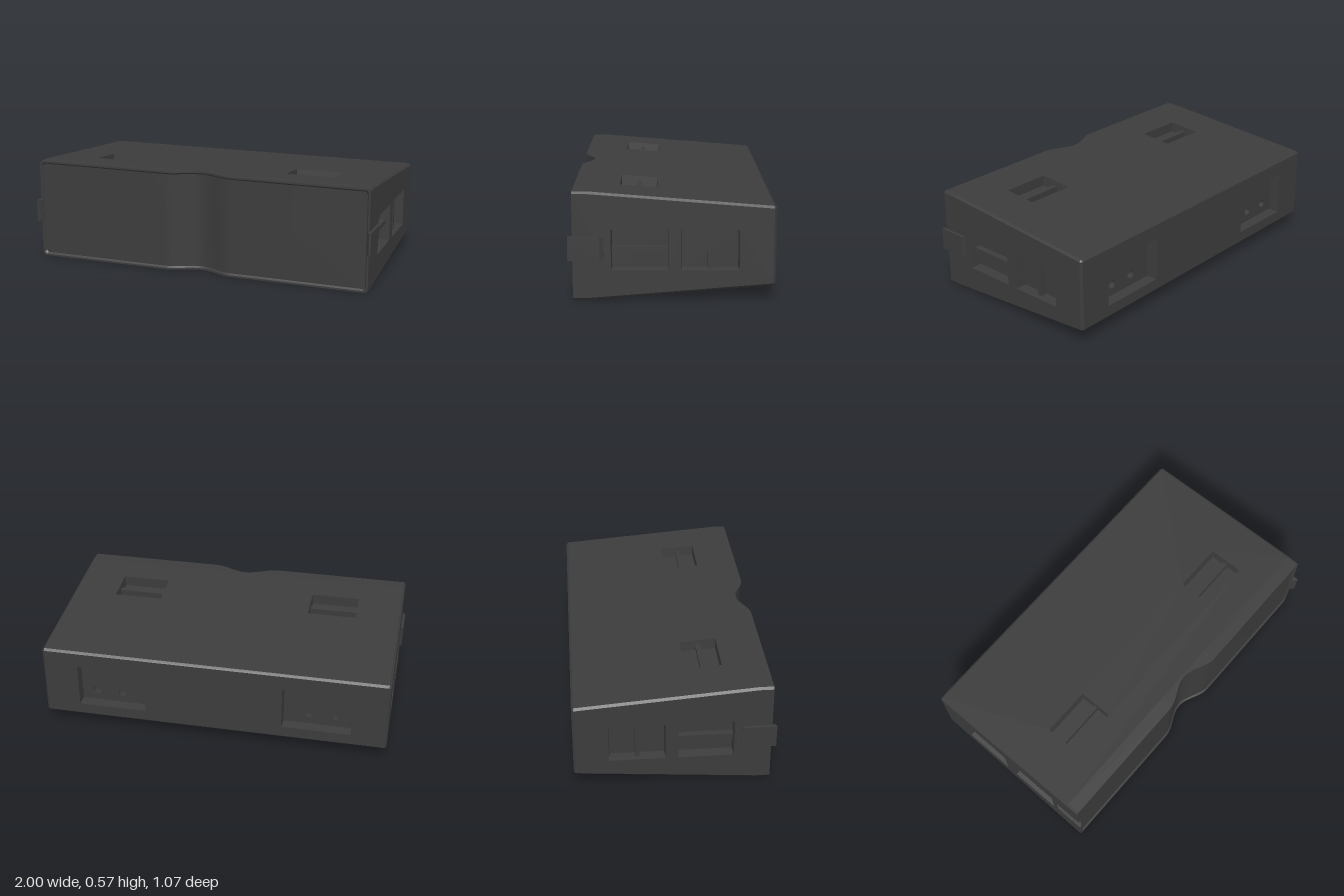
import * as THREE from 'three';
import { toCreasedNormals } from 'three/addons/utils/BufferGeometryUtils.js';

const W = 0.985, H = 0.574, FRONT = 0.515, BACK = -0.535, BREAK = 0.44, C = 0.012;
const SLOPE = 0.08;
const material = new THREE.MeshStandardMaterial({ color: 0x3c3c3c, side: THREE.DoubleSide });

const V = (x, y, z) => new THREE.Vector3(x, y, z);
const topY = z => H - Math.max(0, BREAK - z) * SLOPE;
const bottomY = z => H - topY(z);
// front edge with a finger dip in the middle
const frontZ = x => FRONT - (Math.abs(x) < 0.2 ? 0.031 * (1 + Math.cos(Math.PI * x / 0.2)) : 0);

function mesh(name, geometry) {
  const m = new THREE.Mesh(geometry, material);
  m.name = name;
  return m;
}

// ruled surface between two polylines of equal length
function strip(name, a, b) {
  const pos = [];
  for (let i = 0; i < a.length - 1; i++)
    for (const p of [a[i], b[i], b[i + 1], a[i], b[i + 1], a[i + 1]]) pos.push(p.x, p.y, p.z);
  const g = new THREE.BufferGeometry();
  g.setAttribute('position', new THREE.Float32BufferAttribute(pos, 3));
  g.computeVertexNormals();
  return mesh(name, toCreasedNormals(g, 0.4));
}

function rectLoop(x, y, w, h, z) {
  return [[-1, -1], [1, -1], [1, 1], [-1, 1], [-1, -1]].map(([i, j]) => V(x + i * w / 2, y + j * h / 2, z));
}
const shapeOf = points => new THREE.Shape(points.map(p => new THREE.Vector2(p.x, p.y)));
function cutRect(shape, x, y, w, h) {
  shape.holes.push(new THREE.Path(rectLoop(x, y, w, h, 0).slice(0, 4).reverse().map(p => new THREE.Vector2(p.x, p.y))));
}

// pocket in a panel: tapered walls, floor, optional finger bar or round sockets
function recess({ x, y, w, h, d = 0.06, bar, sockets = [] }) {
  const g = new THREE.Group();
  g.name = 'recess';
  const t = 0.008;
  const floorLoop = rectLoop(x, y, w - t, h - t, -d);
  g.add(strip('recessWalls', rectLoop(x, y, w, h, 0), floorLoop));
  const floor = shapeOf(floorLoop.slice(0, 4));
  for (const [sx, sy] of sockets) {
    const r = 0.024, depth = 0.03;
    floor.holes.push(new THREE.Path().absarc(sx, sy, r, 0, Math.PI * 2, true));
    const tube = mesh('socketWall', new THREE.CylinderGeometry(r, r, depth, 20, 1, true));
    tube.rotation.x = Math.PI / 2;
    tube.position.set(sx, sy, -d - depth / 2);
    const end = mesh('socketEnd', new THREE.CircleGeometry(r, 20));
    end.position.set(sx, sy, -d - depth);
    g.add(tube, end);
  }
  const floorMesh = mesh('recessFloor', new THREE.ShapeGeometry(floor, 20));
  floorMesh.position.z = -d;
  g.add(floorMesh);
  if (bar) {
    const b = mesh('fingerBar', new THREE.BoxGeometry(bar === 'x' ? w - t : 0.026, bar === 'x' ? 0.026 : h - t, 0.035));
    b.position.set(x, y, -d + 0.0175);
    g.add(b);
  }
  return g;
}

// flat panel in its own xy plane, facing +z, with pockets
function panel(name, points, recesses) {
  const g = new THREE.Group();
  g.name = name;
  const shape = shapeOf(points);
  for (const r of recesses) {
    cutRect(shape, r.x, r.y, r.w, r.h);
    g.add(recess(r));
  }
  g.add(mesh(name + 'Sheet', new THREE.ShapeGeometry(shape)));
  return g;
}

export function createModel() {
  const model = new THREE.Group();
  model.name = 'sliderBox';
  const xi = W - C, zb = BACK + C;

  // sloping top with two grip pockets
  const len = Math.hypot(BREAK - zb, topY(BREAK) - topY(zb));
  const top = panel('topPanel', [V(-xi, 0), V(xi, 0), V(xi, len), V(-xi, len)],
    [-1, 1].map(s => ({ x: s * 0.585, y: BREAK - 0.175, w: 0.28, h: 0.2, bar: 'x' })));
  top.position.set(0, H, BREAK);
  top.rotation.x = -(Math.PI / 2 + Math.atan(SLOPE));
  model.add(top);

  // plain sloping bottom
  model.add(strip('bottomPanel', [V(-xi, bottomY(zb), zb), V(xi, bottomY(zb), zb)], [V(-xi, 0, BREAK), V(xi, 0, BREAK)]));

  // level front strips following the dip
  const xs = [-W, -xi];
  for (let i = -16; i <= 16; i++) xs.push(i / 16 * 0.2);
  xs.push(xi, W);
  const inner = xs.slice(1, -1);
  for (const y of [0, H])
    model.add(strip('frontStrip', inner.map(x => V(x, y, BREAK)), inner.map(x => V(x, y, frontZ(x)))));

  // chamfers around the top and bottom
  const path = [[-xi, FRONT], [-xi, BREAK], [-xi, zb], [-xi, zb], [xi, zb], [xi, zb], [xi, BREAK], [xi, FRONT]];
  const push = [[-C, 0], [-C, 0], [-C, 0], [0, -C], [0, -C], [C, 0], [C, 0], [C, 0]];
  for (const [edge, dir] of [[topY, -1], [bottomY, 1]])
    model.add(strip('edgeChamfer', path.map(([x, z]) => V(x, edge(z), z)),
      path.map(([x, z], i) => V(x + push[i][0], edge(z) + dir * C, z + push[i][1]))));

  for (const s of [-1, 1]) {
    const lo = bottomY(zb) + C, hi = topY(zb) - C;
    model.add(strip('backCornerChamfer', [V(s * W, lo, zb), V(s * W, hi, zb)], [V(s * xi, lo, BACK), V(s * xi, hi, BACK)]));

    // side wall with a horizontal and a vertical grip pocket
    const outline = [[zb, lo], [BREAK, C], [FRONT, C], [FRONT, H - C], [BREAK, H - C], [zb, hi]];
    const side = panel('sidePanel', outline.map(([z, y]) => V(-s * z, y)), [
      { x: -s * 0.168, y: 0.267, w: 0.297, h: 0.215, bar: 'x' },
      { x: s * 0.197, y: 0.267, w: 0.3, h: 0.215, bar: 'y' },
    ]);
    side.position.x = s * W;
    side.rotation.y = s * Math.PI / 2;
    model.add(side);

    // side latch with a hooked front end
    const hook = [[0.98, 0.355], [0.99, 0.355], [1, 0.375], [1, 0.539], [0.988, 0.539], [0.972, 0.515]];
    const latch = new THREE.ExtrudeGeometry(shapeOf(hook.map(([x, z]) => V(s * x, -z))), { depth: 0.126, bevelEnabled: false });
    latch.rotateX(-Math.PI / 2);
    latch.translate(0, 0.214, 0);
    model.add(mesh('latch', latch));
  }

  // back wall with two socket pockets
  const by = bottomY(zb) + C, ty = topY(zb) - C;
  const back = panel('backPanel', [V(-xi, by), V(xi, by), V(xi, ty), V(-xi, ty)], [-1, 1].map(s => ({
    x: s * 0.588, y: 0.275, w: 0.39, h: 0.25,
    sockets: [[s * 0.54, 0.22], [s * 0.69, 0.22]],
  })));
  back.position.z = BACK;
  back.rotation.y = Math.PI;
  model.add(back);

  // front rim and slightly sunken front face
  const row = (sign, inset, depth) => xs.map(x => {
    const half = H / 2 - (Math.abs(x) > xi + 0.001 ? C : 0);
    const px = x * (1 - inset / W);
    return V(px, H / 2 + sign * (half - inset), frontZ(px) - depth);
  });
  const ring = (inset, depth) => {
    const loop = [...row(1, inset, depth), ...row(-1, inset, depth).reverse()];
    return [...loop, loop[0]];
  };
  model.add(strip('frontRim', ring(0, 0), ring(0.01, 0)));
  model.add(strip('frontStep', ring(0.01, 0), ring(0.018, 0.01)));
  model.add(strip('frontFace', row(1, 0.018, 0.01), row(-1, 0.018, 0.01)));
  return model;
}
